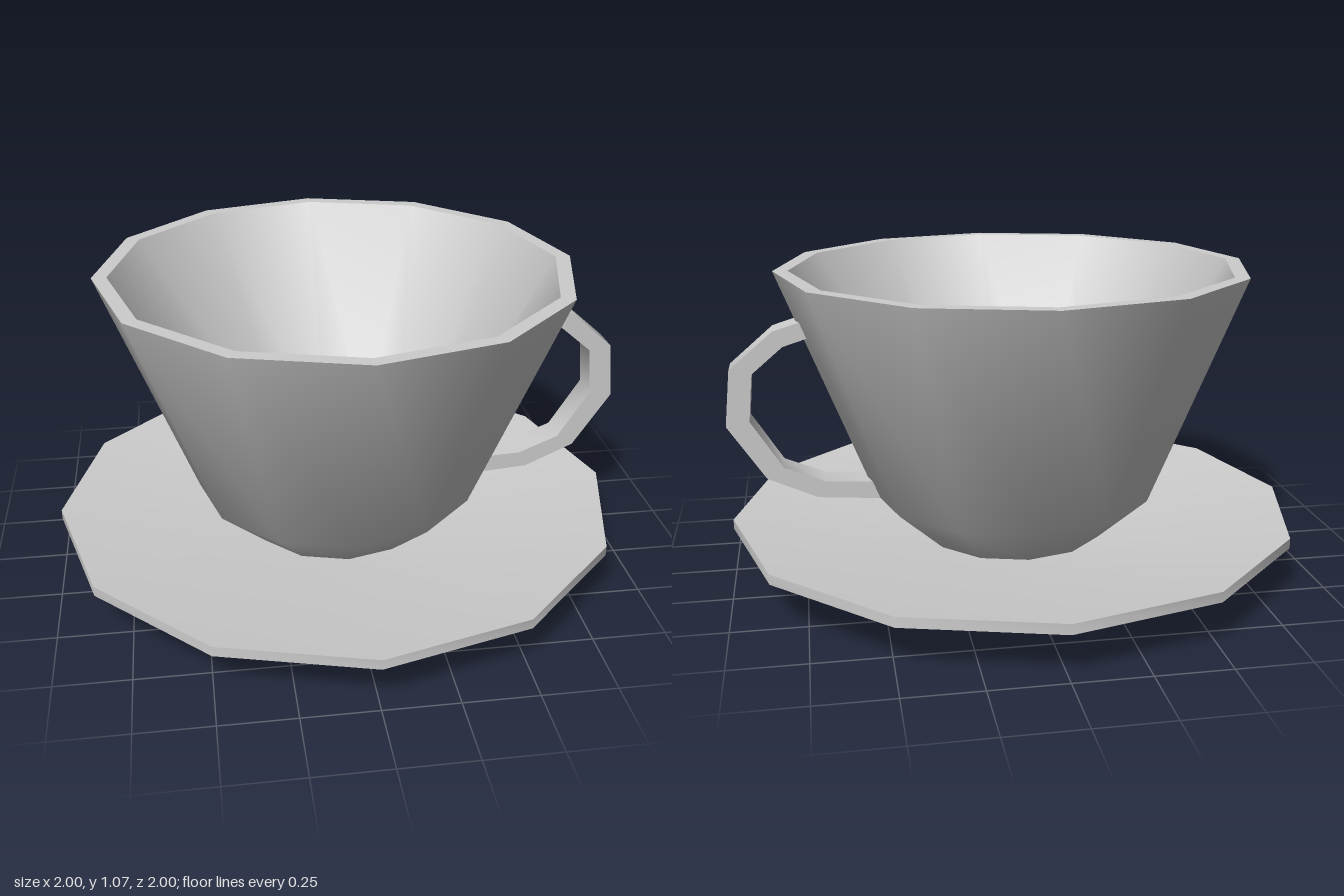
import * as THREE from 'three';
import { toCreasedNormals } from 'three/addons/utils/BufferGeometryUtils.js';

const SIDES = 12;
const CREASE = 0.8;
const vectors = (points) => points.map(([x, y]) => new THREE.Vector2(x, y));

export function createModel() {
  const group = new THREE.Group();
  const china = new THREE.MeshStandardMaterial({ color: 0xcccccc });
  china.name = 'grey china';

  function add(name, geometry) {
    const mesh = new THREE.Mesh(toCreasedNormals(geometry, CREASE), china);
    mesh.name = name;
    group.add(mesh);
  }

  // Saucer: sloping underside, thin upright lip and a shallow cone down to the cup's foot
  add('saucer', new THREE.LatheGeometry(vectors([
    [0, 0], [0.6, 0], [1, 0.155], [1, 0.19], [0.32, 0.1], [0, 0.1],
  ]), SIDES));

  // Cup: chamfered foot, flared wall, flat rim, then the inside down to the floor
  add('cup', new THREE.LatheGeometry(vectors([
    [0, 0.085], [0.305, 0.085], [0.5, 0.26], [0.818, 1.067],
    [0.767, 1.067], [0.325, 0.26], [0, 0.26],
  ]), SIDES));

  // Handle: angular loop, outer edge from top to bottom, then the inner edge back up
  const outline = new THREE.Shape(vectors([
    [0.738, 0.9], [0.829, 0.872], [0.979, 0.743], [1, 0.547], [0.872, 0.353], [0.7, 0.275], [0.483, 0.258],
    [0.497, 0.321], [0.674, 0.332], [0.813, 0.39], [0.92, 0.561], [0.904, 0.727], [0.797, 0.818], [0.711, 0.845],
  ]));
  const handle = new THREE.ExtrudeGeometry(outline, { depth: 0.108, bevelEnabled: false });
  handle.translate(0, 0, -0.054);
  add('handle', handle);

  return group;
}
